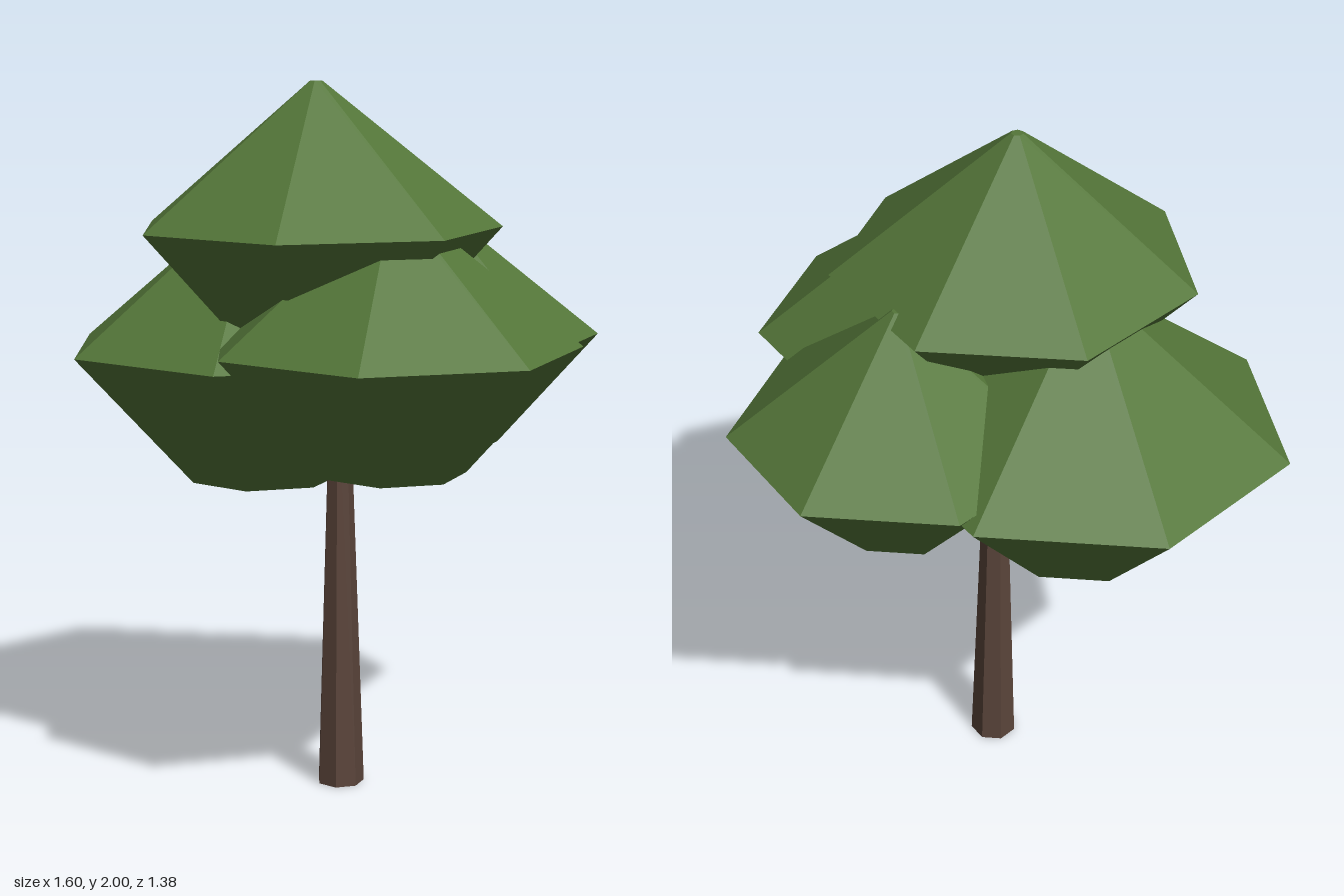
import * as THREE from 'three';

const SIDES = 7;

// Seven-sided solid turned from [radius, height] points, with a corner on +x
function faceted(name, profile, material, x, y, z, scale = 1) {
  const points = profile.map(([r, h]) => new THREE.Vector2(r * scale, h * scale));
  const mesh = new THREE.Mesh(new THREE.LatheGeometry(points, SIDES, Math.PI / 2), material);
  mesh.name = name;
  mesh.position.set(x, y, z);
  return mesh;
}

export function createModel() {
  const leaf = new THREE.MeshStandardMaterial({ color: 0x547639, flatShading: true });
  leaf.name = 'leaf green';
  const bark = new THREE.MeshStandardMaterial({ color: 0x5a443a, flatShading: true });
  bark.name = 'bark brown';

  const tree = new THREE.Group();
  tree.name = 'tree';

  // Tapered trunk, its top buried in the foliage
  const trunkProfile = [[0, 0], [0.068, 0], [0.028, 1.2], [0, 1.2]];
  tree.add(faceted('trunk', trunkProfile, bark, -0.028, 0, 0.071));

  // Foliage clump of unit radius: flat base, wide rim, tiny flat tip
  const clumpProfile = [[0, -0.667], [0.39, -0.667], [1, 0], [0.034, 0.772], [0, 0.772]];
  const clumps = [
    // name, rim centre x, y, z, radius
    ['topFoliage', 0.014, 1.61, 0.186, 0.505],
    ['rightFoliage', -0.287, 1.25, 0.137, 0.57],
    ['leftFoliage', 0.295, 1.31, 0.16, 0.505],
    ['backFoliage', 0.035, 1.28, -0.235, 0.467],
  ];
  for (const [name, x, y, z, radius] of clumps) {
    tree.add(faceted(name, clumpProfile, leaf, x, y, z, radius));
  }
  return tree;
}
